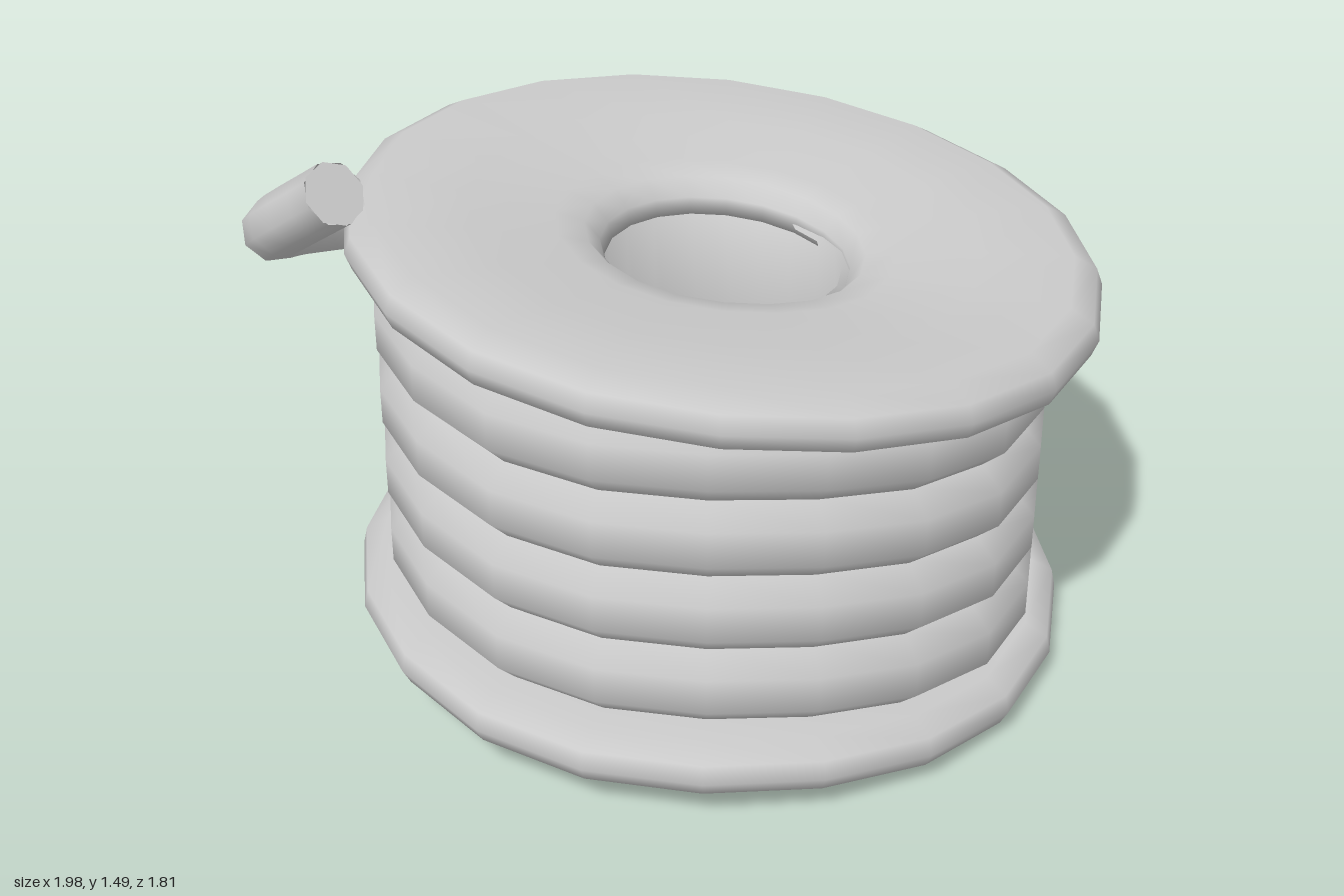
import * as THREE from 'three';
import { mergeVertices } from 'three/addons/utils/BufferGeometryUtils.js';

const SIDES = 20;
const material = new THREE.MeshStandardMaterial({ color: 0xcccccc, side: THREE.DoubleSide });

// Lathe a closed profile, then tilt and ripple it around the axis.
function warpedRing(name, profile, { tilt = 1, ripple = 1, lift = 0, x = 0.08, z = 0 } = {}) {
  const points = [...profile, profile[0]].map(([r, y]) => new THREE.Vector2(r, y));
  let geo = new THREE.LatheGeometry(points, SIDES);
  geo.deleteAttribute('uv');
  geo.deleteAttribute('normal');
  geo = mergeVertices(geo, 1e-4);
  const p = geo.attributes.position;
  for (let i = 0; i < p.count; i++) {
    const r = Math.hypot(p.getX(i), p.getZ(i));
    const a = Math.atan2(p.getZ(i), p.getX(i));
    const s = Math.sin(a);
    const offset = tilt * (-0.062 * Math.cos(a) - 0.01 * s)
      + ripple * 0.03 * Math.cos(3 * a) * Math.max(s, 0) - lift * s;
    p.setY(i, p.getY(i) + offset * Math.min(r / 0.8, 1.05));
  }
  geo.computeVertexNormals();
  const mesh = new THREE.Mesh(geo, material);
  mesh.name = name;
  mesh.position.set(x, 0, z);
  return mesh;
}

// Loose rope end: tube with a flat cap at each end.
function ropeEnd() {
  const group = new THREE.Group();
  group.name = 'looseRopeEnd';
  const radius = 0.07;
  const curve = new THREE.CatmullRomCurve3([
    [0.14, 0.92, -0.72], [-0.1, 0.94, -0.72], [-0.35, 0.98, -0.63], [-0.58, 1.06, -0.55],
    [-0.79, 1.15, -0.43], [-0.92, 1.27, -0.22], [-0.88, 1.43, 0.01],
  ].map((c) => new THREE.Vector3(...c)));
  const tube = new THREE.Mesh(new THREE.TubeGeometry(curve, 20, radius, 8), material);
  tube.name = 'ropeTube';
  group.add(tube);
  for (const t of [0, 1]) {
    const cap = new THREE.Mesh(new THREE.CircleGeometry(radius, 8), material);
    const direction = curve.getTangent(t).multiplyScalar(t ? 1 : -1);
    cap.name = t ? 'ropeTip' : 'ropeStart';
    cap.position.copy(curve.getPoint(t));
    cap.quaternion.setFromUnitVectors(new THREE.Vector3(0, 0, 1), direction);
    group.add(cap);
  }
  return group;
}

export function createModel() {
  const model = new THREE.Group();
  model.name = 'ropeSpool';

  // Hollow core with the central hole
  model.add(warpedRing('core', [
    [0.285, 0.1], [0.7, 0.1], [0.7, 1.03], [0.285, 1.0],
  ], { x: 0.095, z: 0.01 }));

  // Flanges: rounded rim, slightly dished faces, softened hole edge
  model.add(warpedRing('bottomFlange', [
    [0.36, 0.055], [0.8, 0.055], [0.865, 0.08], [0.885, 0.12], [0.875, 0.165],
    [0.82, 0.195], [0.6, 0.19], [0.285, 0.17], [0.295, 0.1],
  ], { tilt: 0.6, ripple: 0.7, lift: 0.02, z: -0.01 }));
  model.add(warpedRing('topFlange', [
    [0.285, 0.98], [0.6, 0.98], [0.82, 0.985], [0.875, 1.01], [0.89, 1.05], [0.875, 1.09],
    [0.82, 1.12], [0.6, 1.1], [0.4, 1.075], [0.33, 1.06], [0.295, 1.02],
  ], { tilt: 1.25, ripple: 0.4, lift: 0.04, x: 0.095, z: 0.025 }));

  // Four wound turns of rope
  for (let i = 0; i < 4; i++) {
    const y = 0.278 + i * 0.195;
    model.add(warpedRing(`ropeTurn${i + 1}`, [
      [0.6, y - 0.098], [0.755, y - 0.1], [0.81, y - 0.045],
      [0.81, y + 0.045], [0.755, y + 0.1], [0.6, y + 0.098],
    ]));
  }

  model.add(ropeEnd());
  return model;
}
